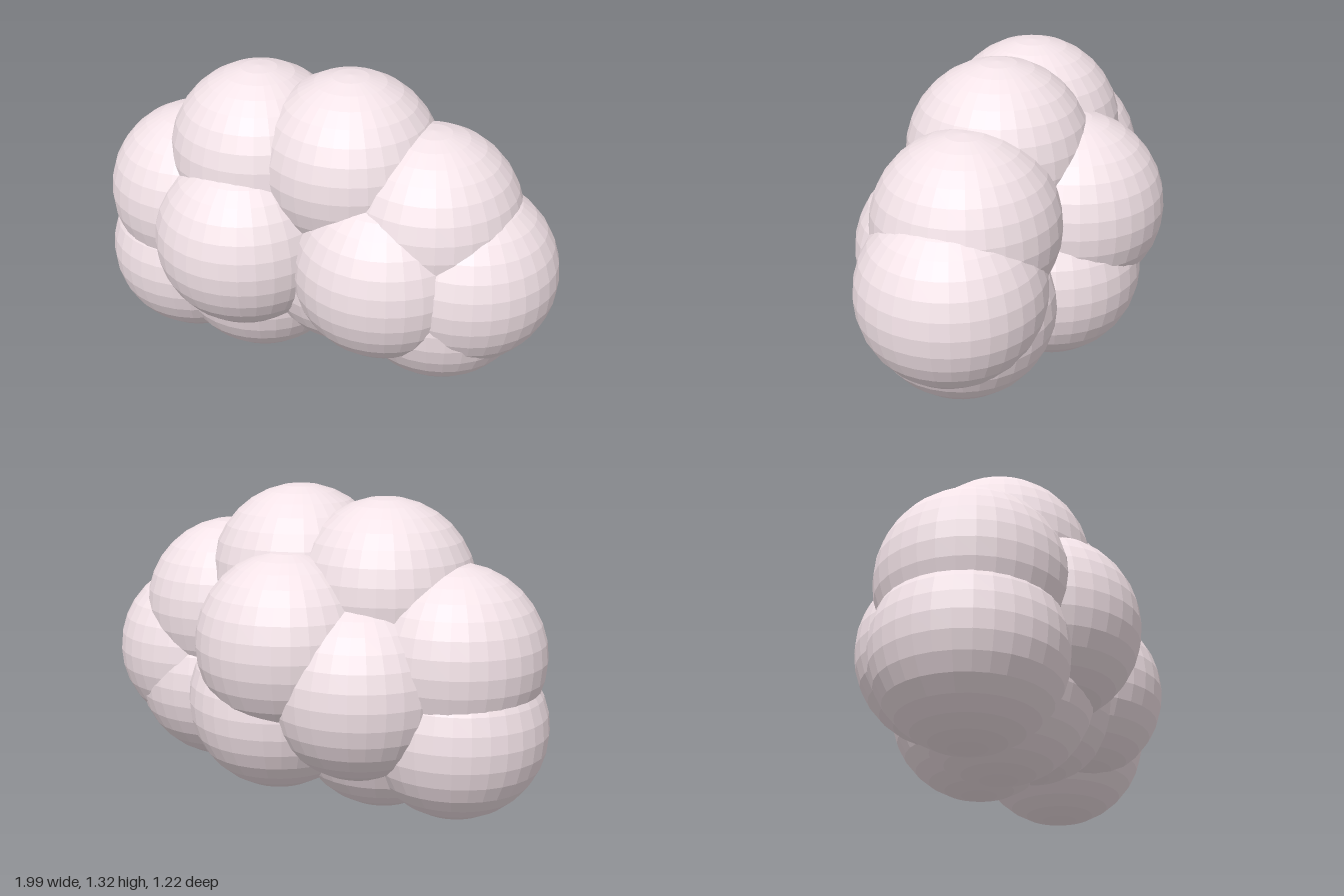
import * as THREE from 'three';

// A cloud made of equal overlapping puffs
export function createModel() {
  const cloud = new THREE.Group();
  cloud.name = 'cloud';
  const material = new THREE.MeshStandardMaterial({ color: 0xf3e3e8, flatShading: true });
  const puff = new THREE.SphereGeometry(0.375, 32, 16);

  const puffs = {
    // ring of puffs around the outline
    lowerRightPuff: [-0.62, 0.39, 0.045],
    upperRightPuff: [-0.6, 0.68, 0.045],
    topRightPuff: [-0.29, 0.92, 0.045],
    topLeftPuff: [0.11, 0.95, 0.045],
    upperLeftPuff: [0.46, 0.78, 0.045],
    leftEndPuff: [0.62, 0.57, 0.045],
    lowerLeftPuff: [0.52, 0.46, 0.045],
    bottomPuff: [-0.29, 0.38, 0.045],
    corePuff: [0.12, 0.52, 0.045],
    // puffs bulging to the front
    frontRightPuff: [-0.275, 0.62, 0.235],
    frontLeftPuff: [0.325, 0.59, 0.185],
    // puffs bulging to the back
    backTopPuff: [0, 0.72, -0.235],
    backRightPuff: [-0.29, 0.56, -0.17],
    backLeftPuff: [0.085, 0.46, -0.17],
  };

  for (const [name, position] of Object.entries(puffs)) {
    const mesh = new THREE.Mesh(puff, material);
    mesh.name = name;
    mesh.position.set(...position);
    cloud.add(mesh);
  }
  return cloud;
}
